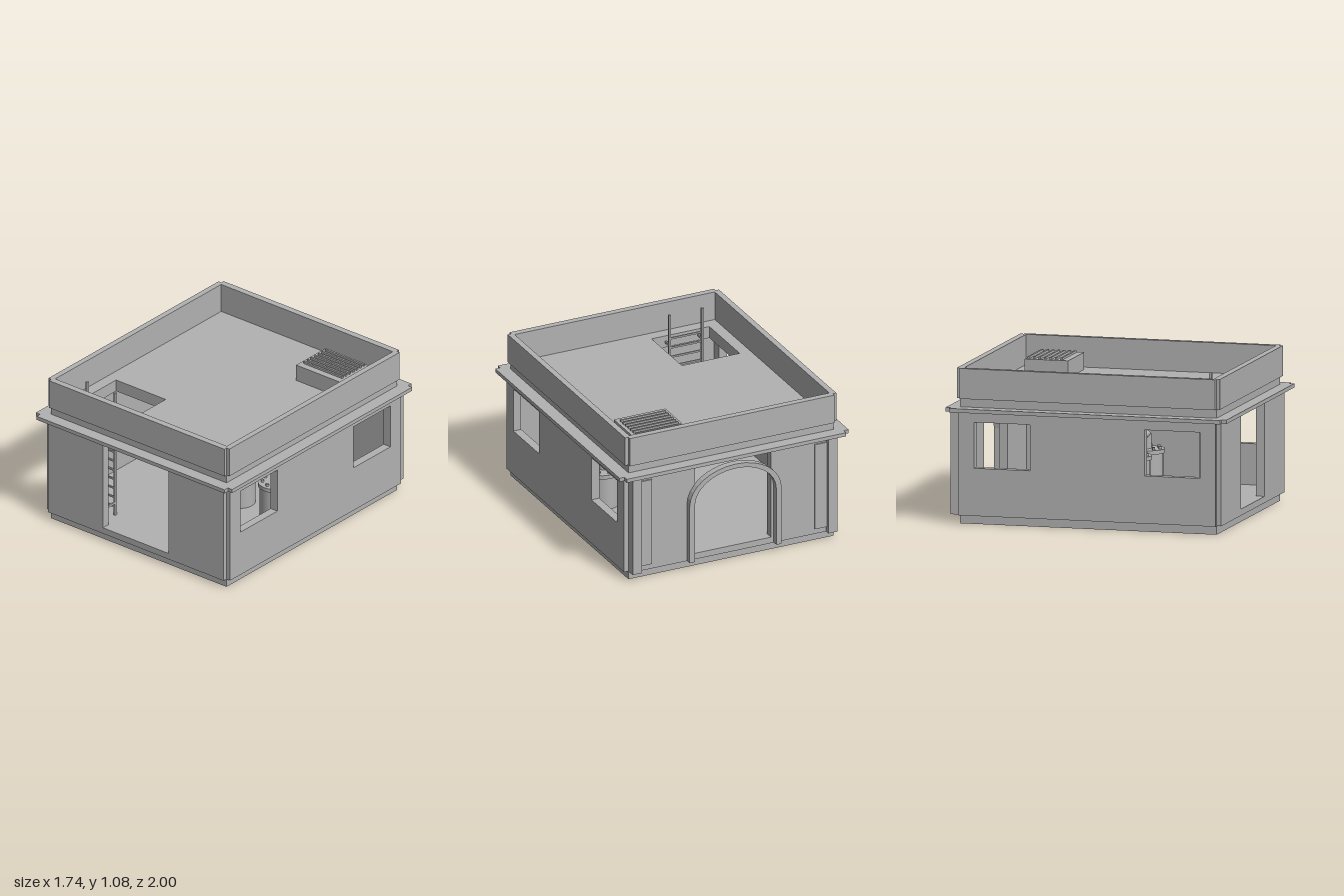
import * as THREE from 'three';

export function createModel() {
  const model = new THREE.Group();
  const plaster = new THREE.MeshStandardMaterial({ color: 0xb2b2b2 });
  plaster.name = 'grey plaster';

  const add = (name, geometry, x = 0, y = 0, z = 0, parent = model) => {
    const mesh = new THREE.Mesh(geometry, plaster);
    mesh.name = name;
    mesh.position.set(x, y, z);
    parent.add(mesh);
    return mesh;
  };
  // Box given by its limits on each axis
  const box = (name, x0, x1, y0, y1, z0, z1, parent) =>
    add(name, new THREE.BoxGeometry(x1 - x0, y1 - y0, z1 - z0),
      (x0 + x1) / 2, (y0 + y1) / 2, (z0 + z1) / 2, parent);
  const rect = (x0, x1, y0, y1) =>
    [[x0, y0], [x1, y0], [x1, y1], [x0, y1]].map(p => new THREE.Vector2(...p));
  const extrude = (points, holes, depth) => {
    const shape = new THREE.Shape(points);
    holes.forEach(h => shape.holes.push(new THREE.Path(h)));
    return new THREE.ExtrudeGeometry(shape, { depth, bevelEnabled: false });
  };
  // Horizontal slab with optional holes
  const slab = (name, points, holes, y0, y1) =>
    add(name, extrude(points, holes, y1 - y0).rotateX(-Math.PI / 2), 0, y0, 0);
  // Rectangle outline with a square notch at each corner
  const notched = (x, z, n) => [
    [x - n, -z], [x - n, n - z], [x, n - z], [x, z - n], [x - n, z - n], [x - n, z],
    [n - x, z], [n - x, z - n], [-x, z - n], [-x, n - z], [n - x, n - z], [n - x, -z],
  ].map(p => new THREE.Vector2(...p));

  // Base and floor
  box('plinth', -0.78, 0.78, 0, 0.062, -0.913, 0.913);
  box('floor', -0.77, 0.77, 0.06, 0.105, -0.9, 0.9);

  // Front and back walls with doorways
  const doorway = rect(-0.29, 0.29, 0.105, 0.75);
  const endWall = extrude(rect(-0.78, 0.78, 0.06, 0.785), [doorway], 0.06);
  add('frontWall', endWall, 0, 0, 0.885);
  add('backWall', endWall, 0, 0, -0.943);

  // Side walls with two windows each
  const windows = [rect(-0.805, -0.408, 0.39, 0.708), rect(0.405, 0.802, 0.39, 0.708)];
  const sideWall = extrude(rect(-0.913, 0.913, 0.06, 0.785), windows, 0.06).rotateY(Math.PI / 2);
  add('leftWall', sideWall, 0.753);
  add('rightWall', sideWall, -0.813);

  // Pilasters and narrow panels on the back wall
  for (const s of [-1, 1]) {
    add('backPilaster', new THREE.BoxGeometry(0.07, 0.72, 0.07), s * 0.745, 0.42, -0.945);
    add('backPanel', new THREE.BoxGeometry(0.09, 0.64, 0.02), s * 0.665, 0.42, -0.945);
  }

  // Arched surround of the back doorway
  const archPoints = [];
  const archLine = (a, b, dir) => {
    for (let i = 0; i <= 16; i++) {
      const t = Math.PI * (dir > 0 ? i : 16 - i) / 16;
      archPoints.push(new THREE.Vector2(a * Math.cos(t), 0.49 + b * Math.sin(t)));
    }
  };
  archPoints.push(new THREE.Vector2(0.35, 0.062));
  archLine(0.35, 0.25, 1);
  archPoints.push(new THREE.Vector2(-0.35, 0.062), new THREE.Vector2(-0.31, 0.062));
  archLine(0.31, 0.217, -1);
  archPoints.push(new THREE.Vector2(0.31, 0.062));
  add('backArch', extrude(archPoints, [], 0.05), 0, 0, -0.987);

  // Roof with hatch, ledge and parapet
  slab('roof', rect(-0.78, 0.78, -0.913, 0.913), [rect(-0.68, -0.24, -0.805, -0.335)], 0.78, 0.866);
  slab('ledge', notched(0.872, 1, 0.037), [rect(-0.765, 0.765, -0.89, 0.89)], 0.779, 0.806);
  slab('parapet', notched(0.804, 0.935, 0.025), [rect(-0.762, 0.762, -0.888, 0.888)], 0.865, 1.075);

  // Rooftop vent with slats
  const vent = new THREE.Group();
  vent.name = 'roofVent';
  model.add(vent);
  box('ventBox', 0.27, 0.663, 0.86, 0.985, -0.756, -0.447, vent);
  for (let i = 0; i < 7; i++) {
    const z = -0.735 + i * 0.0388;
    box('ventSlat', 0.295, 0.638, 0.98, 1, z - 0.007, z + 0.007, vent);
  }

  // Ladder up to the hatch
  const ladder = new THREE.Group();
  ladder.name = 'ladder';
  model.add(ladder);
  for (const x of [-0.597, -0.348]) {
    box('ladderRail', x - 0.008, x + 0.008, 0.1, 1.05, 0.737, 0.755, ladder);
    for (const y of [0.2, 0.82])
      box('ladderBracket', x - 0.006, x + 0.006, y - 0.008, y + 0.008, 0.75, 0.89, ladder);
  }
  for (let i = 0; i < 11; i++) {
    const y = 0.17 + i * 0.07;
    box('ladderRung', -0.597, -0.348, y - 0.006, y + 0.006, 0.74, 0.752, ladder);
  }

  // Two tanks with bolted lids, joined by a pipe
  const cylinder = (r, h) => new THREE.CylinderGeometry(r, r, h, 24);
  const tankZ = 0.05;
  for (const x of [0.18, 0.5]) {
    const tank = new THREE.Group();
    tank.name = 'tank';
    tank.position.set(x, 0, tankZ);
    model.add(tank);
    add('tankBody', cylinder(0.11, 0.24), 0, 0.222, 0, tank);
    add('tankLid', cylinder(0.122, 0.028), 0, 0.354, 0, tank);
    add('tankOutlet', cylinder(0.03, 0.11), 0, 0.415, 0, tank);
    for (let i = 0; i < 8; i++) {
      const a = i * Math.PI / 4;
      add('lidBolt', new THREE.CylinderGeometry(0.011, 0.011, 0.02, 6),
        0.09 * Math.cos(a), 0.376, 0.09 * Math.sin(a), tank);
    }
  }
  add('connectingPipe', cylinder(0.023, 0.32).rotateZ(Math.PI / 2), 0.34, 0.47, tankZ);

  return model;
}
